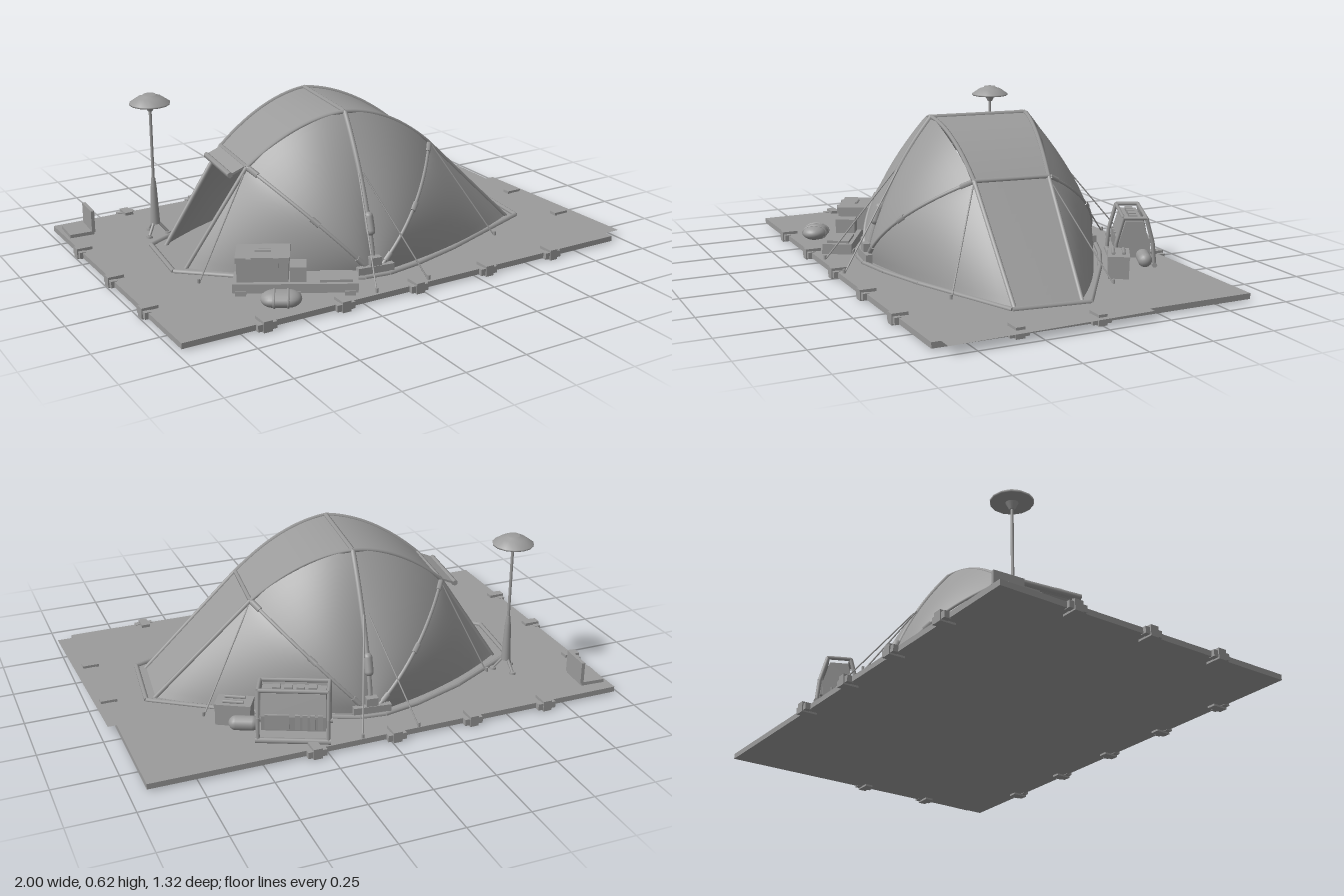
import * as THREE from 'three';

const V = (x, y, z) => new THREE.Vector3(x, y, z);
const GREY = 0x9b9b9b;
const mat = new THREE.MeshStandardMaterial({ color: GREY });
const cloth = new THREE.MeshStandardMaterial({ color: GREY, side: THREE.DoubleSide });

function add(parent, name, geo, x = 0, y = 0, z = 0, material = mat) {
  const m = new THREE.Mesh(geo, material);
  m.name = name;
  m.position.set(x, y, z);
  parent.add(m);
  return m;
}
const box = (p, name, w, h, d, x, y, z) => add(p, name, new THREE.BoxGeometry(w, h, d), x, y, z);
const cyl = (p, name, r0, r1, h, x, y, z, n = 16) => add(p, name, new THREE.CylinderGeometry(r0, r1, h, n), x, y, z);

function rod(p, name, a, b, r) {
  const m = cyl(p, name, r, r, a.distanceTo(b), 0, 0, 0, 6);
  m.position.copy(a).lerp(b, 0.5);
  m.quaternion.setFromUnitVectors(V(0, 1, 0), b.clone().sub(a).normalize());
}
function bars(p, name, pts, r) {
  for (let i = 1; i < pts.length; i++) rod(p, name, pts[i - 1], pts[i], r);
}

// Bowed edge: straight line plus a parabolic bulge
const bow = (a, b, bulge = V(0, 0, 0)) => t => a.clone().lerp(b, t).addScaledVector(bulge, 4 * t * (1 - t));

// Fabric panel ruled between two edges, with an extra bulge growing along v
function panel(p, name, e0, e1, bulge = V(0, 0, 0)) {
  const n = 14, pos = [], idx = [];
  for (let j = 0; j <= n; j++) for (let i = 0; i <= n; i++) {
    const u = i / n, v = j / n;
    const q = e0(v).lerp(e1(v), u).addScaledVector(bulge, 4 * u * (1 - u) * v);
    pos.push(q.x, q.y, q.z);
  }
  for (let j = 0; j < n; j++) for (let i = 0; i < n; i++) {
    const a = j * (n + 1) + i, b = a + n + 1;
    idx.push(a, a + 1, b, b, a + 1, b + 1);
  }
  const g = new THREE.BufferGeometry();
  g.setAttribute('position', new THREE.Float32BufferAttribute(pos, 3));
  g.setIndex(idx);
  g.computeVertexNormals();
  add(p, name, g, 0, 0, 0, cloth);
}
function pole(p, name, edge, r) {
  const pts = Array.from({ length: 13 }, (_, i) => edge(i / 12));
  add(p, name, new THREE.TubeGeometry(new THREE.CatmullRomCurve3(pts), 24, r, 6));
}

function makeTent() {
  const t = new THREE.Group();
  t.name = 'tent';
  t.position.x = -0.05;
  t.rotation.y = -0.119;
  const ends = [{ mx: 0.395, ex: 0.785 }, { mx: -0.385, ex: -0.635 }];
  for (const s of [1, -1]) {
    const R = V(0, 0.6, 0.2 * s), F = V(0, 0.03, 0.475 * s);
    const hoop = bow(F, R, V(0, 0.01, 0.038 * s));
    pole(t, 'mainHoop', hoop, 0.011);
    ends.forEach(({ mx, ex }) => {
      const d = Math.sign(mx), M = V(mx, 0.412, 0.15 * s), E = V(ex, 0.03, 0.13 * s);
      const diagonal = bow(F, M, V(0, 0.01, 0.085 * s));
      panel(t, 'sidePanel', hoop, diagonal, V(0, 0.04, 0.015 * s));
      panel(t, 'endSidePanel', v => diagonal(1 - v), bow(M, E), V(0.02 * d, 0, 0.035 * s));
      pole(t, 'diagonalPole', diagonal, 0.008);
      pole(t, 'roofPole', bow(R, M, V(0, 0.04, 0)), 0.009);
      pole(t, 'endPole', bow(M, E), 0.009);
      // Joint sleeves on the diagonal poles
      [0.12, 0.5, 0.93].forEach(k => rod(t, 'poleSleeve', diagonal(k), diagonal(k + 0.06), 0.012));
    });
    // Hoop foot and side vent
    box(t, 'hoopFoot', 0.15, 0.045, 0.025, 0, 0.05, 0.483 * s);
    box(t, 'hoopSocket', 0.045, 0.06, 0.035, 0, 0.075, 0.475 * s);
    const vent = add(t, 'vent', new THREE.CapsuleGeometry(0.018, 0.055, 4, 12), 0, 0.22, 0.428 * s);
    vent.rotation.x = -0.35 * s;
  }
  // Roof panels, cross poles and the closed end
  ends.forEach(({ mx, ex }, i) => {
    const edge = s => bow(V(0, 0.6, 0.2 * s), V(mx, 0.412, 0.15 * s), V(0, 0.04, 0));
    const side = s => bow(V(mx, 0.412, 0.15 * s), V(ex, 0.03, 0.13 * s));
    panel(t, 'roofPanel', edge(1), edge(-1));
    rod(t, 'crossPole', V(mx, 0.412, 0.15), V(mx, 0.412, -0.15), 0.009);
    if (i === 0) panel(t, 'endPanel', side(1), side(-1));
  });
  rod(t, 'ridgePole', V(0, 0.6, 0.2), V(0, 0.6, -0.2), 0.01);
  // Doorway awning with a rolled flap
  const awning = box(t, 'awning', 0.075, 0.008, 0.28, -0.42, 0.397, 0);
  awning.rotation.z = 0.4;
  rod(t, 'rolledFlap', V(-0.45, 0.385, 0.14), V(-0.45, 0.385, -0.14), 0.012);
  // Base rail
  const half = [[0.82, 0.15], [0.4, 0.37], [0.2, 0.455], [0.05, 0.5], [-0.05, 0.5], [-0.2, 0.45], [-0.4, 0.35], [-0.69, 0.15]];
  const loop = [...half, ...half.map(([x, z]) => [x, -z]).reverse(), half[0]];
  bars(t, 'baseRail', loop.map(([x, z]) => V(x, 0.036, z)), 0.01);
  return t;
}

function makeGenerator() {
  const g = new THREE.Group();
  g.name = 'generator';
  g.position.set(0.33, 0.03, -0.495);
  g.rotation.y = -0.43;
  const prof = [[-0.055, 0.04], [0.055, 0.04], [0.06, 0.1], [0.035, 0.185], [-0.035, 0.185], [-0.06, 0.1]];
  const shape = new THREE.Shape(prof.map(([z, y]) => new THREE.Vector2(z, y)));
  const body = add(g, 'generatorBody', new THREE.ExtrudeGeometry(shape, { depth: 0.24, bevelEnabled: false }), 0.12, 0, 0);
  body.rotation.y = -Math.PI / 2;
  for (const x of [-0.13, 0.13]) {
    bars(g, 'cageFrame', [[-0.08, 0.01], [-0.072, 0.1], [-0.045, 0.2], [0.045, 0.2], [0.072, 0.1], [0.08, 0.01]].map(([z, y]) => V(x, y, z)), 0.008);
  }
  for (const s of [-1, 1]) {
    rod(g, 'cageRail', V(-0.13, 0.2, 0.045 * s), V(0.13, 0.2, 0.045 * s), 0.008);
    rod(g, 'skid', V(-0.14, 0.012, 0.08 * s), V(0.14, 0.012, 0.08 * s), 0.011);
    box(g, 'controlPanel', 0.09, 0.06, 0.012, 0.06, 0.08, 0.06 * s);
    for (let i = 0; i < 4; i++) box(g, 'coolingSlat', 0.018, 0.06, 0.012, -0.1 + i * 0.028, 0.08, 0.06 * s);
  }
  for (let i = 0; i < 4; i++) box(g, 'topCap', 0.03, 0.015, 0.03, -0.07 + i * 0.045, 0.192, 0);
  const tank = add(g, 'fuelTank', new THREE.CapsuleGeometry(0.028, 0.06, 6, 14), 0.185, 0.055, -0.03);
  tank.rotation.z = Math.PI / 2;
  return g;
}

function makeSupplies() {
  const g = new THREE.Group();
  g.name = 'supplies';
  g.position.set(-0.43, 0.03, 0.44);
  g.rotation.y = -0.52;
  box(g, 'pallet', 0.46, 0.035, 0.12, 0, 0.03, 0);
  for (const x of [-0.2, 0, 0.2]) box(g, 'palletFoot', 0.04, 0.02, 0.13, x, 0.01, 0);
  box(g, 'crate', 0.19, 0.08, 0.13, -0.12, 0.085, -0.025);
  box(g, 'crateLid', 0.2, 0.022, 0.14, -0.12, 0.133, -0.025);
  for (const x of [-0.17, -0.07]) box(g, 'crateLatch', 0.02, 0.035, 0.012, x, 0.125, 0.046);
  rod(g, 'crateHandle', V(-0.15, 0.146, -0.025), V(-0.09, 0.146, -0.025), 0.006);
  box(g, 'smallCase', 0.06, 0.06, 0.08, 0.01, 0.075, 0);
  box(g, 'toolTray', 0.12, 0.014, 0.09, 0.15, 0.05, 0);
  const bag = new THREE.Group();
  bag.name = 'bedroll';
  bag.position.set(-0.05, 0.03, 0.145);
  bag.scale.y = 0.6;
  g.add(bag);
  add(bag, 'roll', new THREE.CapsuleGeometry(0.05, 0.05, 8, 16)).rotation.z = Math.PI / 2;
  for (const x of [-0.025, 0.025]) add(bag, 'strap', new THREE.TorusGeometry(0.05, 0.005, 6, 20), x).rotation.y = Math.PI / 2;
  return g;
}

function makeLamp() {
  const g = new THREE.Group();
  g.name = 'mastLamp';
  g.position.set(-0.65, 0.03, -0.34);
  cyl(g, 'mastSleeve', 0.012, 0.02, 0.16, 0, 0.13, 0);
  cyl(g, 'mastCollar', 0.008, 0.012, 0.04, 0, 0.225, 0);
  cyl(g, 'mast', 0.006, 0.006, 0.5, 0, 0.31, 0, 10);
  cyl(g, 'shadeNeck', 0.025, 0.01, 0.03, 0, 0.54, 0);
  const pts = [[0, 0.553], [0.08, 0.553], [0.082, 0.56], [0.05, 0.582], [0.027, 0.589], [0.025, 0.594], [0, 0.594]];
  add(g, 'shade', new THREE.LatheGeometry(pts.map(([x, y]) => new THREE.Vector2(x, y)), 14), 0, 0, 0, cloth);
  for (let i = 0; i < 3; i++) {
    const a = i * Math.PI * 2 / 3 + 0.4, x = Math.cos(a), z = Math.sin(a);
    rod(g, 'tripodLeg', V(0, 0.07, 0), V(0.05 * x, 0.01, 0.05 * z), 0.006);
    cyl(g, 'tripodFoot', 0.012, 0.014, 0.012, 0.05 * x, 0.006, 0.05 * z, 8);
  }
  return g;
}

export function createModel() {
  const root = new THREE.Group();
  root.name = 'campsite';
  // Ground mat with a thin offset end flap
  box(root, 'groundMat', 1.915, 0.022, 1.275, -0.0225, 0.022, 0);
  const flap = new THREE.Shape([[0.9, 0.2], [0.97, 0.2], [1, -0.605], [0.9, -0.605]].map(p => new THREE.Vector2(...p)));
  add(root, 'matFlap', new THREE.ShapeGeometry(flap), 0, 0.035, 0, cloth).rotation.x = -Math.PI / 2;
  // Edge clips
  const clip = (x, z, turn) => {
    const c = new THREE.Group();
    c.name = 'edgeClip';
    c.position.set(x, 0, z);
    c.rotation.y = turn;
    root.add(c);
    box(c, 'clipJaw', 0.035, 0.042, 0.065, 0, 0.024, 0);
    box(c, 'clipPlate', 0.075, 0.026, 0.026, 0, 0.022, 0.015);
  };
  [-0.66, -0.34, -0.02, 0.3].forEach(x => { clip(x, 0.625, 0); clip(x, -0.63, Math.PI); });
  clip(0.615, 0.625, 0);
  [-0.33, 0, 0.32].forEach(z => clip(-0.965, z, -Math.PI / 2));
  [0, 0.32].forEach(z => clip(0.922, z, Math.PI / 2));

  root.add(makeTent(), makeGenerator(), makeSupplies(), makeLamp());

  // Guy ropes with ground pegs
  const ropes = [
    [-0.03, 0.395, -0.35, -0.12, -0.63], [-0.01, 0.395, -0.35, 0.11, -0.63],
    [-0.1, 0.395, 0.345, -0.19, 0.62], [-0.08, 0.395, 0.345, 0.04, 0.62],
    [0.33, 0.41, 0.2, 0.53, 0.385], [0.36, 0.41, -0.1, 0.61, -0.25],
    [-0.45, 0.41, 0.1, -0.715, 0.21], [-0.41, 0.41, -0.2, -0.57, -0.33]];
  for (const [x, y, z, gx, gz] of ropes) {
    rod(root, 'guyRope', V(x, y, z), V(gx, 0.03, gz), 0.003);
    cyl(root, 'groundPeg', 0.006, 0.006, 0.03, gx, 0.035, gz, 6);
  }

  // Laptop
  const laptop = new THREE.Group();
  laptop.name = 'laptop';
  laptop.position.set(-0.915, 0.033, -0.525);
  laptop.rotation.y = -0.06;
  root.add(laptop);
  box(laptop, 'laptopBase', 0.1, 0.014, 0.12, 0, 0.007, 0);
  box(laptop, 'laptopScreen', 0.014, 0.09, 0.12, 0.048, 0.055, 0);
  // Equipment case beside the generator
  const kit = new THREE.Group();
  kit.name = 'equipmentCase';
  kit.position.set(0.51, 0.03, -0.33);
  kit.rotation.y = -0.52;
  root.add(kit);
  box(kit, 'caseBody', 0.135, 0.075, 0.08, 0, 0.0375, 0);
  box(kit, 'caseLid', 0.14, 0.015, 0.085, 0, 0.083, 0);
  for (const z of [-0.02, 0.02]) rod(kit, 'caseTool', V(-0.04, 0.095, z), V(0.04, 0.095, z), 0.007);
  return root;
}
